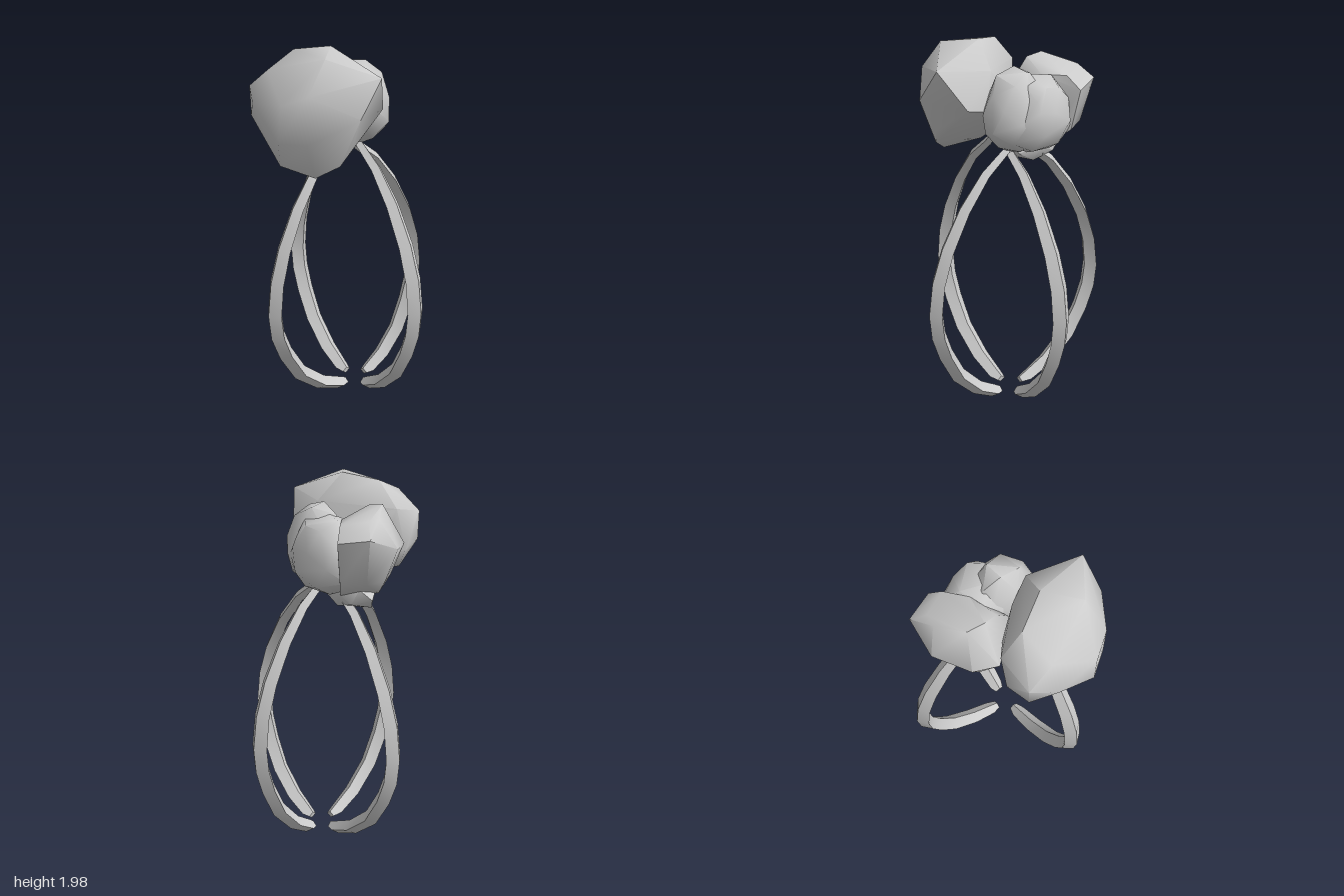
import * as THREE from 'three';
import { ConvexGeometry } from 'three/addons/geometries/ConvexGeometry.js';
import { toCreasedNormals } from 'three/addons/utils/BufferGeometryUtils.js';

const material = new THREE.MeshStandardMaterial({ color: 0xcccccc });

// Faceted lump wrapped around a few corner points
function rock(name, corners) {
  const hull = new ConvexGeometry(corners.map((c) => new THREE.Vector3(...c)));
  const mesh = new THREE.Mesh(toCreasedNormals(hull, 0.95), material);
  mesh.name = name;
  return mesh;
}

// Corner points spread evenly over an ellipsoid, slightly roughened
function roundCorners(center, radii, count, seed) {
  const corners = [];
  for (let i = 0; i < count; i++) {
    const v = 1 - (2 * i + 1) / count;
    const a = i * 2.39996 + seed;
    const h = Math.sqrt(1 - v * v);
    const k = 1 + 0.06 * Math.sin(i * 12.9 + seed * 7);
    const dir = [h * Math.cos(a), v, h * Math.sin(a)];
    corners.push(dir.map((d, j) => center[j] + d * radii[j] * k));
  }
  return corners;
}

// Shared bow of a leg, from foot to top: reach, height, and section half sizes
const reach = [0, 0.1, 0.38, 0.68, 0.87, 0.97, 1, 0.95, 0.82, 0.59, 0.31, 0, -0.1];
const height = [0.045, 0.052, 0.12, 0.25, 0.41, 0.54, 0.67, 0.84, 1.01, 1.2, 1.36, 1.47, 1.52];
const halfWidth = [0.026, 0.042, 0.05, 0.052, 0.054, 0.055, 0.055, 0.053, 0.049, 0.042, 0.033, 0.024, 0.018];
const halfDepth = [0.02, 0.036, 0.04, 0.043, 0.043, 0.043, 0.042, 0.04, 0.037, 0.033, 0.028, 0.024, 0.02];

// Bowed leg with a diamond section; out is the horizontal direction it bows to
function leg(name, out, foot, bulge, top, sideEnd, sideMid) {
  const o = new THREE.Vector3(...out);
  const up = new THREE.Vector3(0, 1, 0);
  const side = new THREE.Vector3().crossVectors(up, o);
  const sideAxis = new THREE.Vector3(Math.abs(out[2]), 0, Math.abs(out[0]));
  const last = reach.length - 1;
  const path = reach.map((u, i) => {
    const start = i < 6 ? foot : top;
    return o.clone().multiplyScalar(start + (bulge - start) * u)
      .addScaledVector(up, height[i])
      .addScaledVector(sideAxis, sideEnd + (sideMid - sideEnd) * u);
  });
  const position = [];
  const index = [];
  path.forEach((p, i) => {
    const t = path[Math.min(i + 1, last)].clone().sub(path[Math.max(i - 1, 0)]).normalize();
    const n = new THREE.Vector3().crossVectors(t, side).normalize();
    for (let k = 0; k < 4; k++) {
      const a = (k * Math.PI) / 2;
      const q = p.clone().addScaledVector(n, Math.cos(a) * halfDepth[i])
        .addScaledVector(side, Math.sin(a) * halfWidth[i]);
      position.push(q.x, q.y, q.z);
      if (i < last) {
        const a0 = i * 4 + k, b0 = i * 4 + ((k + 1) % 4);
        index.push(a0, b0 + 4, b0, a0, a0 + 4, b0 + 4);
      }
    }
  });
  // End caps
  const e = last * 4;
  index.push(0, 1, 2, 0, 2, 3, e, e + 2, e + 1, e, e + 3, e + 2);
  const geometry = new THREE.BufferGeometry();
  geometry.setAttribute('position', new THREE.Float32BufferAttribute(position, 3));
  geometry.setIndex(index);
  // Smooth along the bow, sharp along the four ridges
  const mesh = new THREE.Mesh(toCreasedNormals(geometry, 0.7), material);
  mesh.name = name;
  return mesh;
}

export function createModel() {
  const model = new THREE.Group();
  model.name = 'rockClusterOnLegs';

  // Four legs bowing out and back in
  model.add(
    leg('leftLeg', [1, 0, 0], 0.112, 0.514, 0.05, -0.07, -0.05),
    leg('rightLeg', [-1, 0, 0], 0.035, 0.517, 0.08, -0.07, -0.12),
    leg('frontLeg', [0, 0, 1], 0.005, 0.503, 0.1, 0.04, 0.052),
    leg('backLeg', [0, 0, -1], 0.138, 0.503, 0.05, 0.04, 0.06),
  );

  // Large front rock
  model.add(rock('largeRock', [
    [-0.22, 1.84, 0.22], [-0.1, 1.97, 0.22], [0.07, 2, 0.13], [0.2, 1.98, 0.28],
    [0.37, 1.89, 0.08], [0.38, 1.72, 0.22], [0.3, 1.55, 0.2], [0.27, 1.47, 0.25],
    [0.17, 1.4, 0.32], [0.03, 1.46, 0.18], [-0.18, 1.52, 0.3], [-0.235, 1.62, 0.28],
    [-0.215, 1.8, 0.41], [-0.21, 1.65, 0.41], [-0.1, 1.75, 0.48], [-0.08, 1.9, 0.4],
    [0.11, 1.6, 0.495], [0.12, 1.78, 0.48], [0.23, 1.6, 0.42], [0.23, 1.83, 0.41],
    [0.05, 1.46, 0.44], [0.27, 1.7, -0.03], [0.17, 1.68, -0.04], [0.11, 1.87, -0.01],
    [0, 1.58, 0.02], [0, 1.78, 0.03], [-0.13, 1.73, 0.12], [-0.2, 1.72, 0.2],
  ]));

  // Side rock with a flat sloping top
  model.add(rock('sideRock', [
    [-0.41, 1.79, -0.2], [-0.43, 1.72, -0.02], [-0.35, 1.86, -0.14], [-0.36, 1.86, -0.08],
    [-0.27, 1.9, 0.05], [-0.18, 1.885, 0.06], [-0.1, 1.82, 0.04], [-0.14, 1.83, -0.1],
    [-0.22, 1.83, -0.2], [-0.26, 1.76, -0.26], [-0.33, 1.7, 0.15], [-0.21, 1.68, 0.2],
    [-0.12, 1.72, 0.14], [-0.03, 1.7, 0.04], [-0.38, 1.56, -0.05], [-0.36, 1.56, -0.16],
    [-0.28, 1.46, 0.02], [-0.15, 1.44, 0.06], [-0.15, 1.45, -0.12], [-0.24, 1.55, -0.22],
    [-0.27, 1.53, 0.12],
  ]));

  // Rounder rocks behind, and the small one under the cluster
  model.add(
    rock('backRock', [
      ...roundCorners([-0.07, 1.64, -0.13], [0.21, 0.205, 0.165], 32, 1),
      [-0.04, 1.81, -0.25], [0.02, 1.7, -0.28],
    ]),
    rock('smallRock', roundCorners([0.03, 1.665, -0.1], [0.178, 0.22, 0.142], 32, 2)),
    rock('underRock', roundCorners([-0.15, 1.45, -0.045], [0.175, 0.082, 0.085], 16, 3)),
  );
  return model;
}
